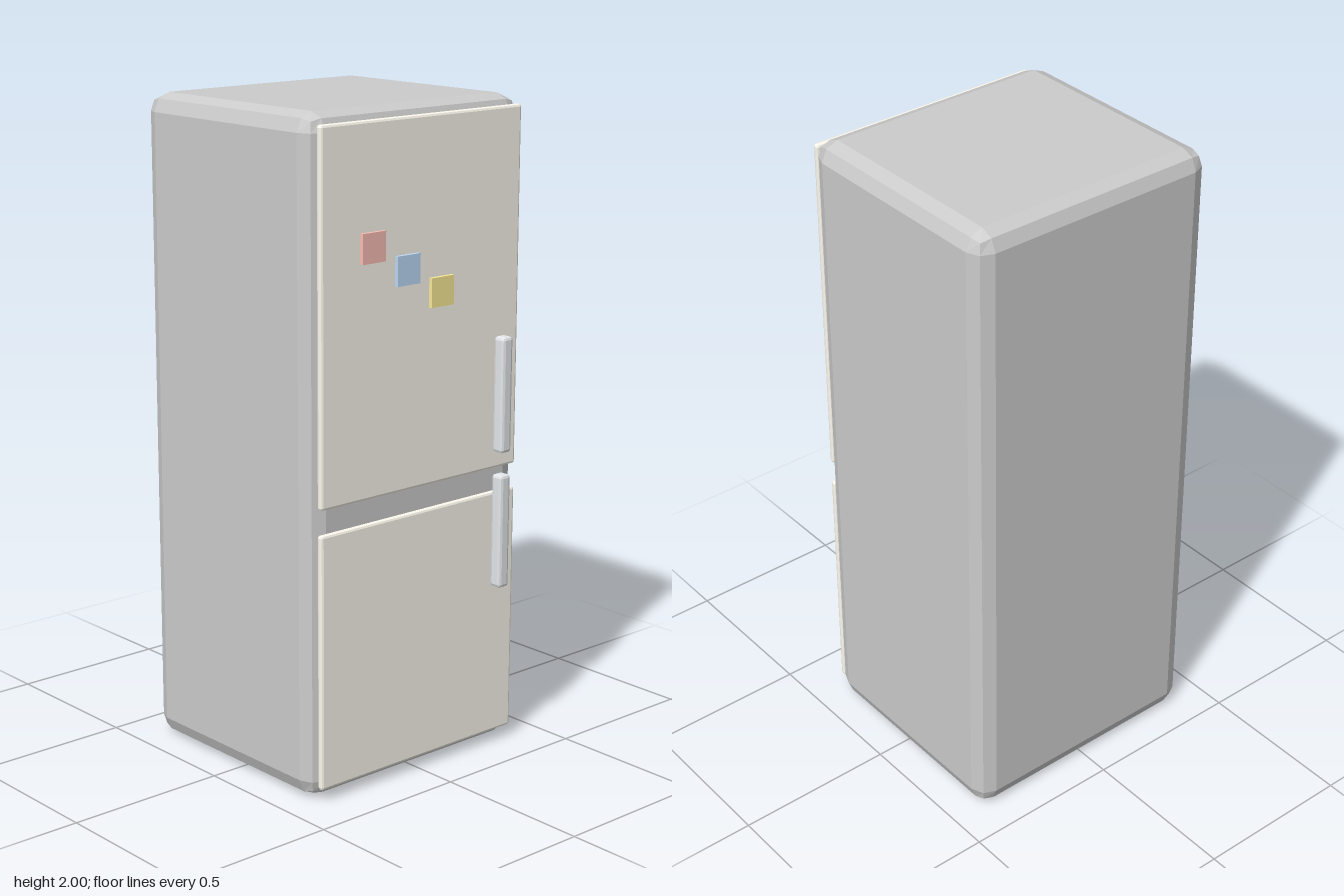
import * as THREE from 'three';

// Box with two-step rounded edges: the outer ring of each face's 3x3 grid
// sits at 45 degrees on the rounding.
function bevelBox(w, h, d, r) {
  const geo = new THREE.BoxGeometry(1, 1, 1, 3, 3, 3);
  const pos = geo.attributes.position;
  const v = new THREE.Vector3();
  const core = new THREE.Vector3(w / 2 - r, h / 2 - r, d / 2 - r);
  for (let i = 0; i < pos.count; i++) {
    v.fromBufferAttribute(pos, i);
    const sign = new THREE.Vector3(Math.sign(v.x), Math.sign(v.y), Math.sign(v.z));
    const dir = v.multiplyScalar(2).roundToZero().normalize();
    // outer vertices may fall a hair short of 1, so the grid is read as 0 or 1
    const p = core.clone().multiply(sign).addScaledVector(dir, r);
    pos.setXYZ(i, p.x, p.y, p.z);
  }
  geo.computeVertexNormals();
  return geo;
}

function material(color) {
  return new THREE.MeshStandardMaterial({ color, flatShading: true });
}

export function createModel() {
  const model = new THREE.Group();
  model.name = 'refrigerator';

  const grey = material(0xcccccc);
  const cream = material(0xfdf9ee);
  const metal = material(0xe4e7ea);

  function add(name, geo, mat, x, y, z) {
    const mesh = new THREE.Mesh(geo, mat);
    mesh.name = name;
    mesh.position.set(x, y, z);
    model.add(mesh);
  }

  // Cabinet
  add('cabinet', bevelBox(0.82, 2, 0.75, 0.055), grey, 0, 1, -0.03);

  // Doors, with a gap between them
  add('upperDoor', bevelBox(0.775, 1.085, 0.021, 0.008), cream, 0, 1.428, 0.3535);
  add('lowerDoor', bevelBox(0.775, 0.775, 0.021, 0.008), cream, 0, 0.425, 0.3535);

  // Upright handles on the left edge of both doors
  const handle = bevelBox(0.042, 0.355, 0.042, 0.01);
  add('upperHandle', handle, metal, 0.309, 1.116, 0.384);
  add('lowerHandle', handle, metal, 0.309, 0.693, 0.384);

  // Square magnets stepping down the upper door
  const magnet = new THREE.BoxGeometry(0.087, 0.087, 0.014);
  [0xf9beb5, 0xbcdaf7, 0xfaec96].forEach((color, i) => {
    add('magnet' + (i + 1), magnet, material(color), -0.201 + i * 0.133, 1.617 - i * 0.079, 0.369);
  });

  return model;
}
